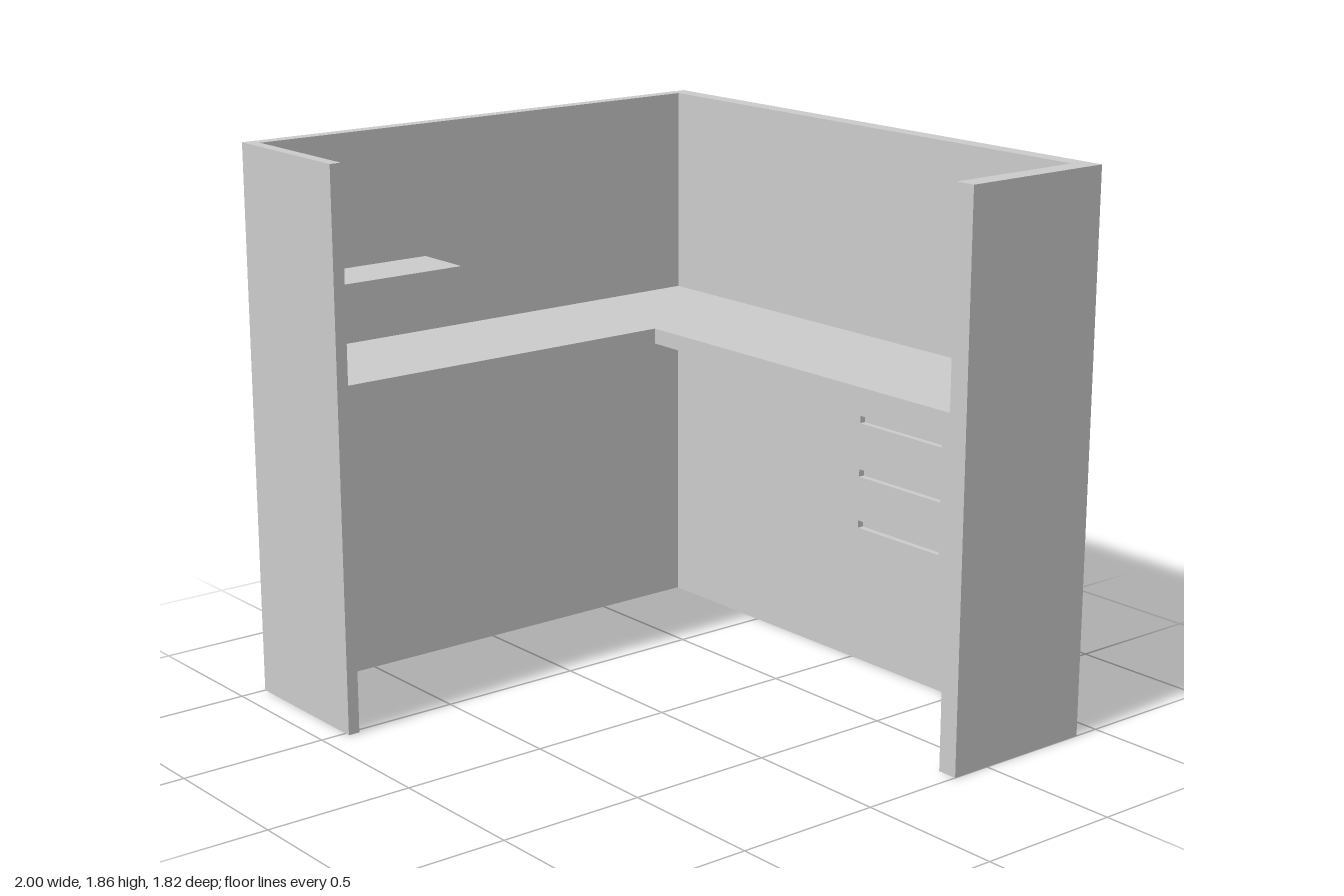
import * as THREE from 'three';

export function createModel() {
  const group = new THREE.Group();
  const material = new THREE.MeshStandardMaterial({ color: 0xcccccc, flatShading: true });

  const add = (name, geometry) => {
    const mesh = new THREE.Mesh(geometry, material);
    mesh.name = name;
    group.add(mesh);
    return mesh;
  };

  // Floor plan outline of [x, z] corners raised from y0 to y1
  const slab = (name, plan, y0, y1) => {
    const shape = new THREE.Shape(plan.map(([x, z]) => new THREE.Vector2(x, -z)));
    const geometry = new THREE.ExtrudeGeometry(shape, { depth: y1 - y0, bevelEnabled: false });
    add(name, geometry.rotateX(-Math.PI / 2).translate(0, y0, 0));
  };

  const box = (name, x0, x1, y0, y1, z0, z1) => {
    const mesh = add(name, new THREE.BoxGeometry(x1 - x0, y1 - y0, z1 - z0));
    mesh.position.set((x0 + x1) / 2, (y0 + y1) / 2, (z0 + z1) / 2);
  };

  const rectangle = (Type, x0, x1, y0, y1) => new Type([
    new THREE.Vector2(x0, y0), new THREE.Vector2(x1, y0),
    new THREE.Vector2(x1, y1), new THREE.Vector2(x0, y1),
  ]);

  // Partition walls: back, both sides and the short front return
  slab('partitionWalls', [
    [-1, 0.91], [-0.48, 0.91], [-0.48, 0.87], [-0.955, 0.87], [-0.955, -0.85],
    [0.93, -0.85], [0.93, -0.36], [1, -0.36], [1, -0.91], [-1, -0.91],
  ], 0, 1.86);

  // L-shaped worktop
  slab('worktop', [
    [-0.955, 0.87], [-0.483, 0.87], [-0.483, -0.36], [0.93, -0.36], [0.93, -0.85], [-0.955, -0.85],
  ], 1.105, 1.157);

  // Small shelf in the front corner
  box('shelf', -0.955, -0.745, 1.38, 1.412, 0.25, 0.87);

  // Drawer cabinet hung under the worktop, with slots as drawer pulls
  const slotDepth = 0.02;
  box('cabinetBody', 0.51, 0.93, 0.54, 1.105, -0.85, -0.36 - slotDepth);
  const front = rectangle(THREE.Shape, 0.51, 0.93, 0.54, 1.105);
  for (const y of [0.712, 0.88, 1.054]) {
    front.holes.push(rectangle(THREE.Path, 0.54, 0.9, y - 0.012, y + 0.012));
  }
  add('cabinetFront', new THREE.ExtrudeGeometry(front, { depth: slotDepth, bevelEnabled: false }))
    .position.z = -0.36 - slotDepth;

  return group;
}
